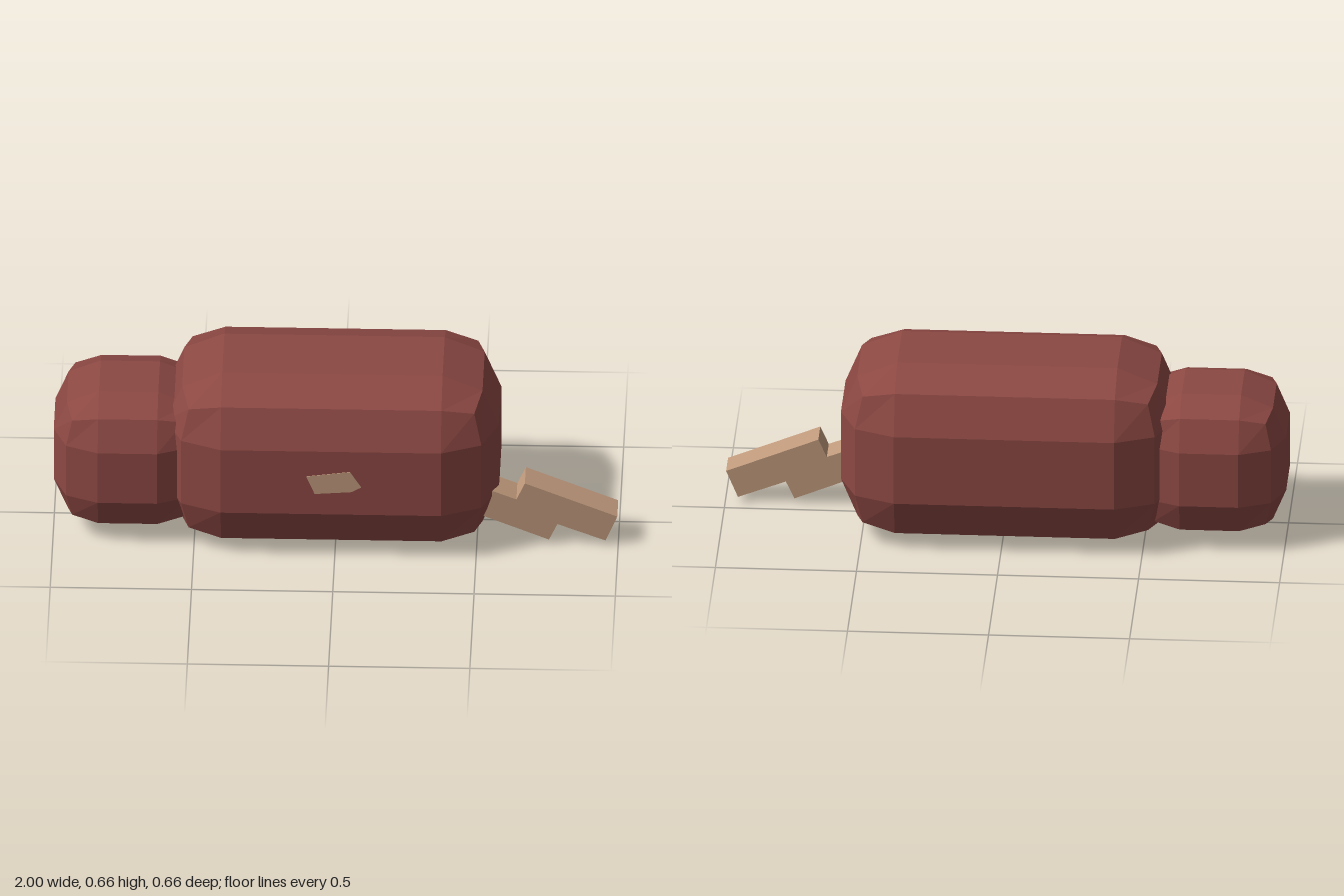
import * as THREE from 'three';
import { RoundedBoxGeometry } from 'three/addons/geometries/RoundedBoxGeometry.js';

const redBrown = new THREE.MeshStandardMaterial({ color: 0x8c4843 });
const tan = new THREE.MeshStandardMaterial({ color: 0xc09a7c });

// Box with faceted bevels: one 45 degree step per edge, flat normals
function bevelledBox(name, size, radius, position) {
  let geometry = new RoundedBoxGeometry(...size, 1, radius);
  if (geometry.index) geometry = geometry.toNonIndexed();
  geometry.computeVertexNormals();
  const mesh = new THREE.Mesh(geometry, redBrown);
  mesh.name = name;
  mesh.position.set(...position);
  return mesh;
}

// Outline in x and y, extruded along z from zStart
function slab(name, points, zStart, depth) {
  const shape = new THREE.Shape(points.map(([x, y]) => new THREE.Vector2(x, y)));
  const geometry = new THREE.ExtrudeGeometry(shape, { depth, bevelEnabled: false });
  const mesh = new THREE.Mesh(geometry, tan);
  mesh.name = name;
  mesh.position.z = zStart;
  return mesh;
}

export function createModel() {
  const model = new THREE.Group();
  model.name = 'model';

  model.add(bevelledBox('body', [1.18, 0.66, 0.66], 0.2, [-0.013, 0.33, -0.026]));
  model.add(bevelledBox('head', [0.53, 0.526, 0.526], 0.16, [-0.735, 0.293, -0.028]));

  // Zigzag tail, its root buried in the body
  model.add(slab('tail', [
    [0.46, 0.14], [0.755, 0.02], [0.785, 0.085], [0.955, 0.02],
    [0.997, 0.12], [0.67, 0.252], [0.64, 0.185], [0.5, 0.24],
  ], 0.05, 0.11));

  // Small patch on the front of the body
  model.add(slab('sidePatch', [
    [-0.07, 0.285], [0.06, 0.295], [0.095, 0.315], [0.055, 0.378], [-0.1, 0.357],
  ], 0.302, 0.004));

  return model;
}
